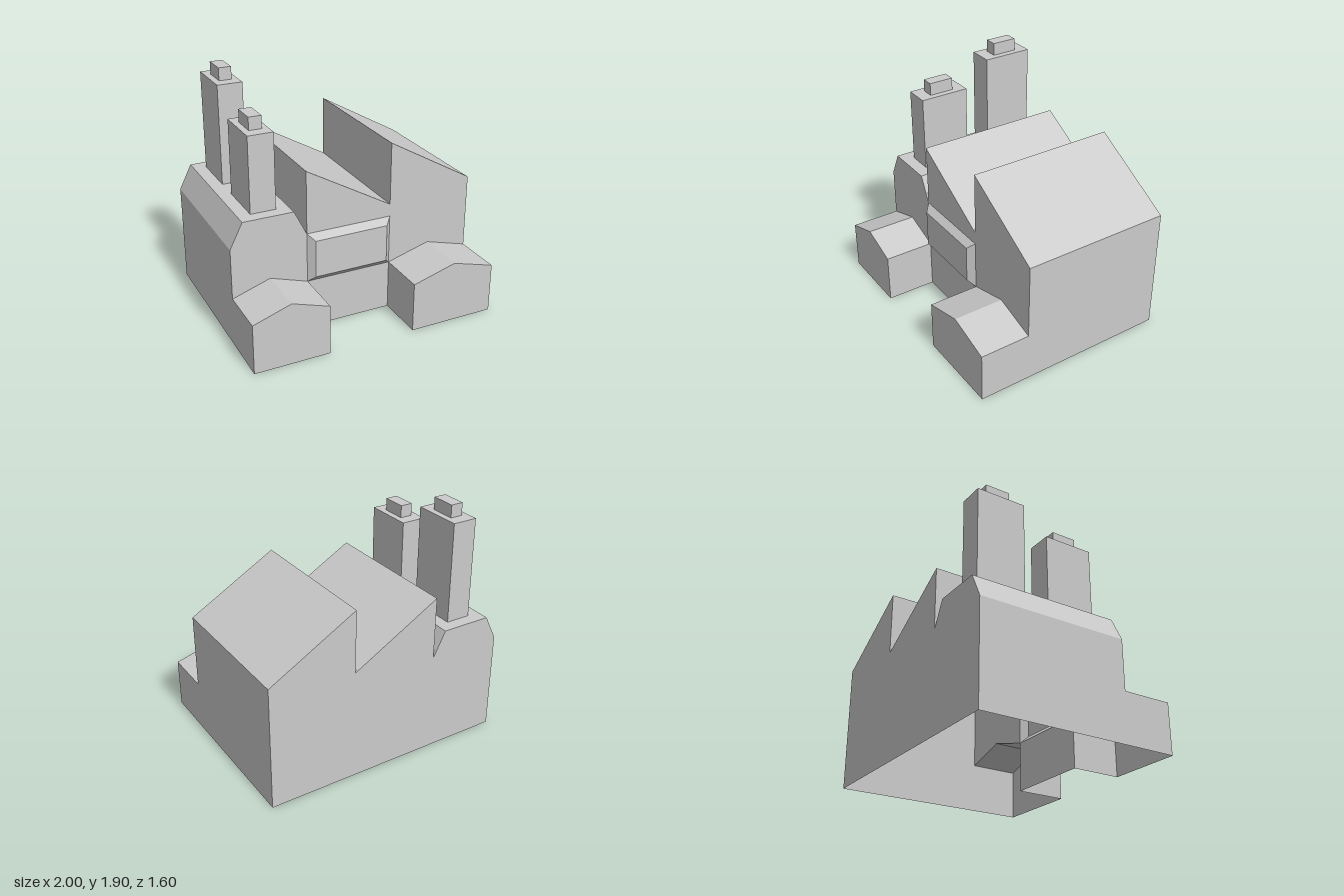
import * as THREE from 'three';

const material = new THREE.MeshStandardMaterial({ color: 0xcccccc, flatShading: true, side: THREE.DoubleSide });

function addMesh(parent, name, geometry) {
  const mesh = new THREE.Mesh(geometry, material);
  mesh.name = name;
  parent.add(mesh);
  return mesh;
}

// Flat-shaded surface from four-cornered faces, corners counter-clockwise from outside
function quadGeometry(quads) {
  const corners = quads.flatMap(([a, b, c, d]) => [a, b, c, a, c, d]);
  const geometry = new THREE.BufferGeometry();
  geometry.setAttribute('position', new THREE.Float32BufferAttribute(corners.flat(), 3));
  geometry.computeVertexNormals();
  return geometry;
}

// Open strip: an (x, y) profile, running left to right over the top, swept along z
function sweep(profile, back, front) {
  return quadGeometry(profile.slice(1).map(([bx, by], i) => {
    const [ax, ay] = profile[i];
    return [[ax, ay, back], [ax, ay, front], [bx, by, front], [bx, by, back]];
  }));
}

// Flat wall from one or more (x, y) outlines
function wall(...outlines) {
  const shapes = outlines.map((o) => new THREE.Shape(o.map(([x, y]) => new THREE.Vector2(x, y))));
  return new THREE.ShapeGeometry(shapes);
}

// Box without its bottom face, standing on y
function openBox(x0, x1, y, height, z0, z1) {
  const ring = (h) => [[x0, h, z1], [x1, h, z1], [x1, h, z0], [x0, h, z0]];
  const low = ring(y), high = ring(y + height);
  const sides = low.map((p, i) => [p, low[(i + 1) % 4], high[(i + 1) % 4], high[i]]);
  return quadGeometry([...sides, high]);
}

export function createModel() {
  const model = new THREE.Group();
  model.name = 'factory';

  // Main hall: hollow shell with a chamfered left roof and two sawtooth roofs
  const hall = new THREE.Group();
  hall.name = 'mainHall';
  model.add(hall);
  const profile = [[-1, 0], [-1, 0.8], [-0.9, 1], [-0.5, 1], [-0.4, 0.8], [-0.4, 1.3],
    [0.3, 0.9], [0.3, 1.4], [1, 1], [1, 0]];
  addMesh(hall, 'roofAndSideWalls', sweep(profile, -0.8, 0.4));
  const backWall = addMesh(hall, 'backWall', wall(profile.map(([x, y]) => [-x, y])));
  backWall.rotation.y = Math.PI;
  backWall.position.z = -0.8;

  // Front wall, left open behind the wings and the bay
  const frontWall = addMesh(hall, 'frontWall', wall(
    [[-1, 0.4], [-0.7, 0.5], [-0.4, 0.4], [-0.4, 0.8], [-0.5, 1], [-0.9, 1], [-1, 0.8]],
    [[-0.4, 0], [0.3, 0], [0.3, 0.4], [-0.4, 0.4]],
    [[-0.4, 0.8], [0.3, 0.8], [0.3, 0.9], [-0.4, 1.3]],
    [[0.3, 0.4], [0.65, 0.5], [1, 0.4], [1, 1], [0.3, 1.4]],
  ));
  frontWall.position.z = 0.4;

  // Bevelled bay in the middle of the front
  const ring = (inset, z) => [
    [-0.4 + inset, 0.4 + inset, z], [0.3 - inset, 0.4 + inset, z],
    [0.3 - inset, 0.8 - inset, z], [-0.4 + inset, 0.8 - inset, z],
  ];
  const outer = ring(0, 0.4), inner = ring(0.05, 0.45);
  const bevels = outer.map((p, i) => [p, outer[(i + 1) % 4], inner[(i + 1) % 4], inner[i]]);
  addMesh(model, 'frontBay', quadGeometry([...bevels, inner]));

  // Gabled front wings
  for (const [name, x0, x1] of [['rightWing', -1, -0.4], ['leftWing', 0.3, 1]]) {
    const wing = new THREE.Group();
    wing.name = name;
    model.add(wing);
    const gable = [[x0, 0], [x0, 0.4], [(x0 + x1) / 2, 0.5], [x1, 0.4], [x1, 0]];
    addMesh(wing, 'wingRoofAndSides', sweep(gable, 0.4, 0.8));
    addMesh(wing, 'wingGable', wall(gable)).position.z = 0.8;
  }

  // Stepped chimneys on the flat roof
  for (const [name, z, height] of [['frontChimney', 0.1, 0.6], ['backChimney', -0.5, 0.8]]) {
    const chimney = new THREE.Group();
    chimney.name = name;
    model.add(chimney);
    addMesh(chimney, 'chimneyStack', openBox(-0.8, -0.6, 1, height, z - 0.2, z + 0.2));
    addMesh(chimney, 'chimneyCap', openBox(-0.75, -0.65, 1 + height, 0.1, z - 0.1, z + 0.1));
  }

  return model;
}
